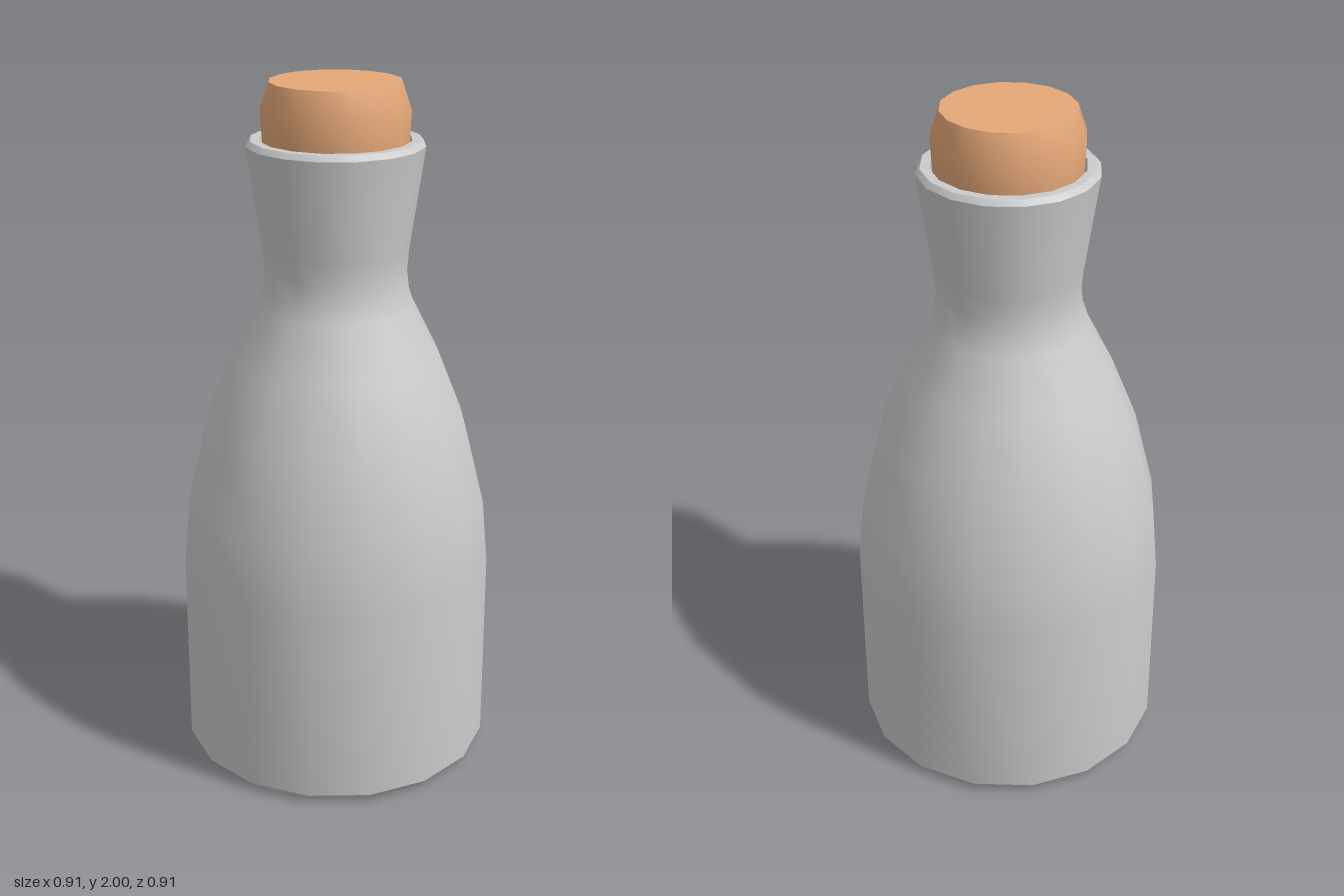
import * as THREE from 'three';
import { toCreasedNormals } from 'three/addons/utils/BufferGeometryUtils.js';

const SIDES = 16;

// Turned part from [radius, height] points, listed from the bottom upward
function turned(name, points, color) {
  const profile = points.map(([r, y]) => new THREE.Vector2(r, y));
  const geometry = toCreasedNormals(new THREE.LatheGeometry(profile, SIDES), 0.56);
  const mesh = new THREE.Mesh(geometry, new THREE.MeshStandardMaterial({ color }));
  mesh.name = name;
  return mesh;
}

export function createModel() {
  const model = new THREE.Group();
  model.name = 'corkedBottle';

  // Bevelled base, straight body, sloping shoulder, flared neck and rim
  model.add(turned('bottle', [
    [0, 0], [0.432, 0], [0.455, 0.025],
    [0.455, 0.6], [0.438, 0.79], [0.378, 1.03], [0.302, 1.22],
    [0.225, 1.375], [0.21, 1.42], [0.203, 1.48], [0.208, 1.54],
    [0.25, 1.828], [0.238, 1.843],
    // inside of the mouth
    [0.212, 1.843], [0.185, 1.65],
  ], 0xcccccc));

  // Stopper, tapering into the neck, with a chamfered top
  model.add(turned('cork', [
    [0, 1.62], [0.18, 1.62], [0.204, 1.83], [0.209, 1.925], [0.184, 2], [0, 2],
  ], 0xe5a878));

  return model;
}
